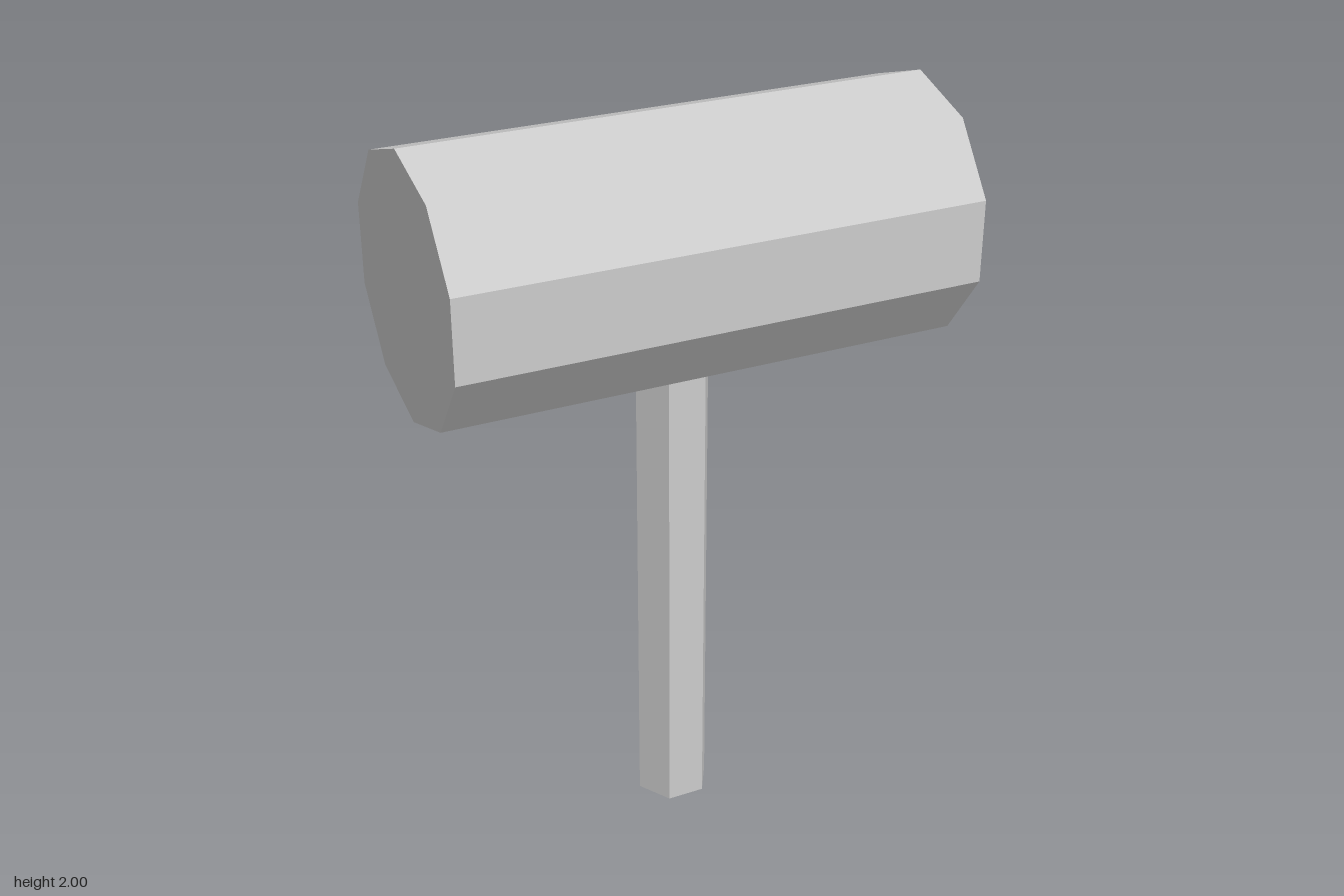
import * as THREE from 'three';

export function createModel() {
  const group = new THREE.Group();
  group.name = 'mallet';
  const material = new THREE.MeshStandardMaterial({ color: 0xcccccc, flatShading: true });

  // Prism with its first corner pointing along +x
  const prism = (name, radius, length, sides) => {
    const geometry = new THREE.CylinderGeometry(radius, radius, length, sides, 1, false, Math.PI / 2);
    const mesh = new THREE.Mesh(geometry, material);
    mesh.name = name;
    group.add(mesh);
    return mesh;
  };

  // Ten-sided head lying along x, a corner at the very top
  const headRadius = 0.347;
  const head = prism('head', headRadius, 1.394, 10);
  head.rotation.z = Math.PI / 2;
  head.position.y = 2 - headRadius;

  // Six-sided handle running up into the head
  const handleHeight = 1.5;
  const handle = prism('handle', 0.103, handleHeight, 6);
  handle.position.y = handleHeight / 2;

  return group;
}
